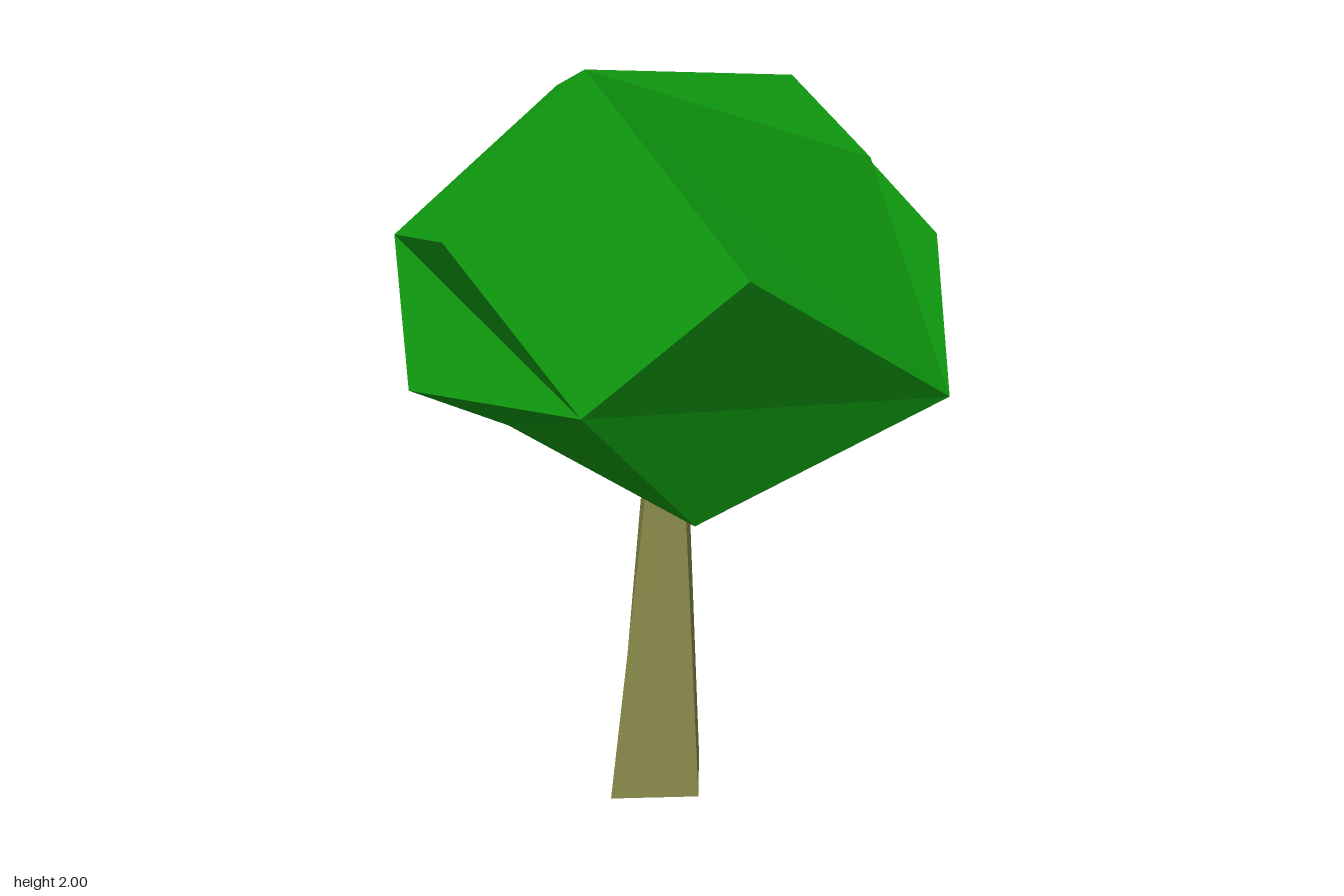
import * as THREE from 'three';

// Flat-shaded mesh from named corner points and triangle fans.
// Each fan is a string: first letter is the hub, the rest run counter-clockwise around it.
function fanMesh(name, points, fans, color) {
  const positions = [];
  for (const fan of fans) {
    for (let i = 1; i < fan.length - 1; i++) {
      positions.push(...points[fan[0]], ...points[fan[i]], ...points[fan[i + 1]]);
    }
  }
  const geometry = new THREE.BufferGeometry();
  geometry.setAttribute('position', new THREE.Float32BufferAttribute(positions, 3));
  geometry.computeVertexNormals();
  const mesh = new THREE.Mesh(geometry, new THREE.MeshStandardMaterial({ color, flatShading: true }));
  mesh.name = name;
  return mesh;
}

// Canopy: a distorted dodecahedron, 20 corners and 36 facets
function createCanopy() {
  const corners = {
    // crown
    A: [-0.14, 2.0, 0.42], B: [0.24, 1.87, -0.32], R: [-0.28, 1.9, 0.07],
    G: [0.46, 1.77, 0.14], Q: [-0.3, 1.77, -0.39],
    // upper belt
    H: [-0.44, 1.64, 0.53], F: [0.24, 1.61, 0.62], C: [-0.68, 1.54, 0.13],
    M: [0.625, 1.48, -0.295], N: [0.08, 1.44, -0.615],
    // lower belt
    E: [-0.13, 1.27, 0.59], S: [-0.46, 1.26, -0.33], I: [-0.615, 1.2, 0.295],
    P: [-0.68, 1.2, -0.2], O: [0.36, 1.19, -0.42], D: [0.675, 1.18, 0.09],
    // underside
    T: [-0.28, 1.07, -0.42], J: [-0.49, 0.94, -0.15],
    L: [0.28, 0.91, -0.17], K: [0.08, 0.88, 0.28],
  };
  const fans = [
    'AHEFDGBRCH', 'CRBQSPIEH', 'BGDMONSQ', 'EIJKDF', 'DKTLOM',
    'NOS', 'OLT', 'SOT', 'TKJ', 'STJ', 'SJP', 'PJI',
  ];
  return fanMesh('canopy', corners, fans, 0x0f9b0f);
}

// Trunk: four-sided taper whose top is buried in the canopy
function createTrunk() {
  const corners = {
    a: [-0.16, 0, 0.18], b: [0.073, 0, 0.135], c: [0.045, 0, -0.08], d: [-0.185, 0, -0.09],
    e: [-0.045, 1.1, 0.113], f: [0.02, 1.1, 0.098], g: [0.013, 1.1, -0.022], h: [-0.08, 1.1, -0.022],
  };
  const fans = ['abfe', 'bcgf', 'cdhg', 'daeh', 'adcb', 'efgh'];
  return fanMesh('trunk', corners, fans, 0x8b8b4b);
}

export function createModel() {
  const tree = new THREE.Group();
  tree.name = 'tree';
  tree.add(createTrunk(), createCanopy());
  return tree;
}
